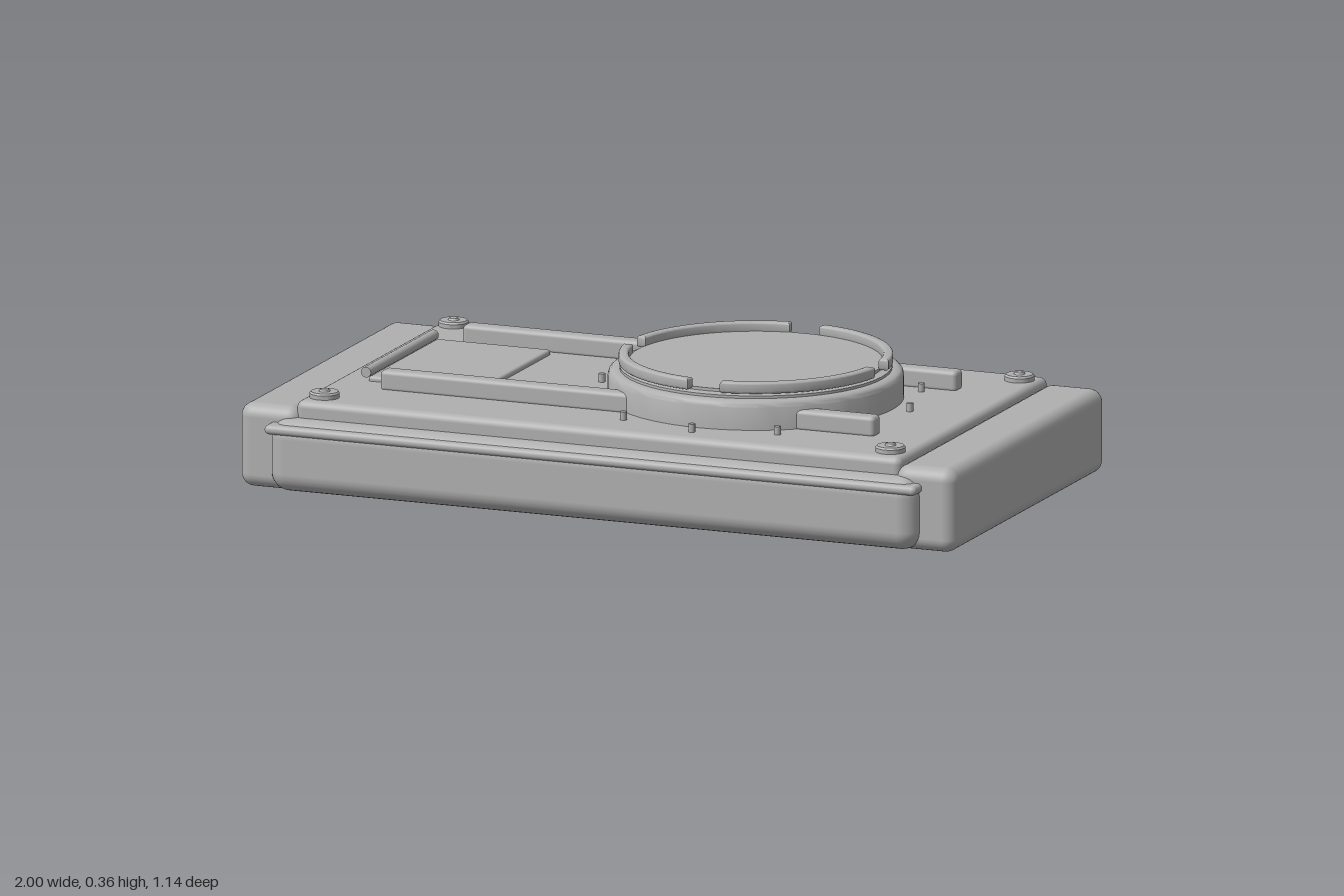
import * as THREE from 'three';
import { RoundedBoxGeometry } from 'three/addons/geometries/RoundedBoxGeometry.js';
import { toCreasedNormals } from 'three/addons/utils/BufferGeometryUtils.js';

export function createModel() {
  const model = new THREE.Group();
  const grey = new THREE.MeshStandardMaterial({ color: 0xb0b0b0 });
  grey.name = 'grey';

  const add = (name, geometry, parent = model) => {
    const mesh = new THREE.Mesh(geometry, grey);
    mesh.name = name;
    parent.add(mesh);
    return mesh;
  };
  // rounded block given by its extents along each axis
  const block = (name, [x0, x1], [y0, y1], [z0, z1], radius) => {
    const mesh = add(name, new RoundedBoxGeometry(x1 - x0, y1 - y0, z1 - z0, 4, radius));
    mesh.position.set((x0 + x1) / 2, (y0 + y1) / 2, (z0 + z1) / 2);
    return mesh;
  };
  // turned part with crisp edges
  const turned = (points, segments) => toCreasedNormals(
    new THREE.LatheGeometry(points.map(([r, y]) => new THREE.Vector2(r, y)), segments), 0.6);

  // case
  block('body', [-0.905, 0.905], [0.003, 0.195], [-0.535, 0.563], 0.05);
  block('lip', [-0.91, 0.91], [0.156, 0.181], [-0.543, 0.568], 0.012);
  block('topPlate', [-0.845, 0.845], [0.16, 0.24], [-0.487, 0.51], 0.02);
  block('leftEndCap', [0.83, 1], [0, 0.222], [-0.5, 0.523], 0.035);
  block('rightEndCap', [-1, -0.83], [0, 0.222], [-0.5, 0.523], 0.035);

  // stacked plates on the back
  block('backPlate', [-0.59, 0.585], [0.067, 0.146], [-0.559, -0.52], 0.01);
  block('backStrip', [-0.484, 0.479], [0.085, 0.128], [-0.571, -0.54], 0.006);

  // rails, running under the dial
  for (const z of [-0.266, 0.286]) {
    block('rail', [-0.692, 0.688], [0.234, 0.29], [z - 0.024, z + 0.024], 0.012);
  }

  // hinged panel
  block('panel', [-0.755, -0.435], [0.23, 0.253], [-0.223, 0.236], 0.008);
  const hinge = add('panelHinge', new THREE.CylinderGeometry(0.014, 0.014, 0.455, 16));
  hinge.rotation.x = Math.PI / 2;
  hinge.position.set(-0.762, 0.262, 0.007);

  // corner screws
  const screwShape = turned([[0, 0], [0.039, 0], [0.039, 0.014], [0.035, 0.019],
    [0.015, 0.019], [0.012, 0.024], [0, 0.025]], 24);
  for (const x of [-0.79, 0.79]) {
    for (const z of [-0.422, 0.444]) {
      add('screw', screwShape).position.set(x, 0.237, z);
    }
  }

  // dial
  const dial = new THREE.Group();
  dial.name = 'dial';
  dial.position.set(0.234, 0, 0.011);
  model.add(dial);
  add('dialBase', turned([[0, 0.22], [0.382, 0.22], [0.382, 0.3], [0.379, 0.309],
    [0.372, 0.315], [0.36, 0.317], [0, 0.317]], 64), dial);
  add('dialNeck', turned([[0, 0.31], [0.352, 0.31], [0.352, 0.324], [0.33, 0.327],
    [0.33, 0.335], [0, 0.335]], 64), dial);

  // four ring segments with gaps between them
  const gap = 0.127, bevel = 0.006;
  const a0 = gap + bevel / 0.34, a1 = Math.PI / 2 - a0;
  const arc = new THREE.Shape();
  arc.absarc(0, 0, 0.354 - bevel, a0, a1, false);
  arc.absarc(0, 0, 0.328 + bevel, a1, a0, true);
  const segment = toCreasedNormals(new THREE.ExtrudeGeometry(arc, {
    depth: 0.03 - 2 * bevel, bevelSize: bevel, bevelThickness: bevel,
    bevelSegments: 3, curveSegments: 20,
  }), 0.6);
  segment.rotateX(-Math.PI / 2);
  for (let i = 0; i < 4; i++) {
    const part = add('ringSegment', segment, dial);
    part.position.y = 0.329 + bevel;
    part.rotation.y = i * Math.PI / 2;
  }

  // twelve index pins round the dial
  const pin = new THREE.CylinderGeometry(0.009, 0.009, 0.03, 12);
  for (let i = 0; i < 12; i++) {
    const a = i * Math.PI / 6;
    add('indexPin', pin, dial).position.set(0.43 * Math.cos(a), 0.247, 0.43 * Math.sin(a));
  }
  return model;
}
